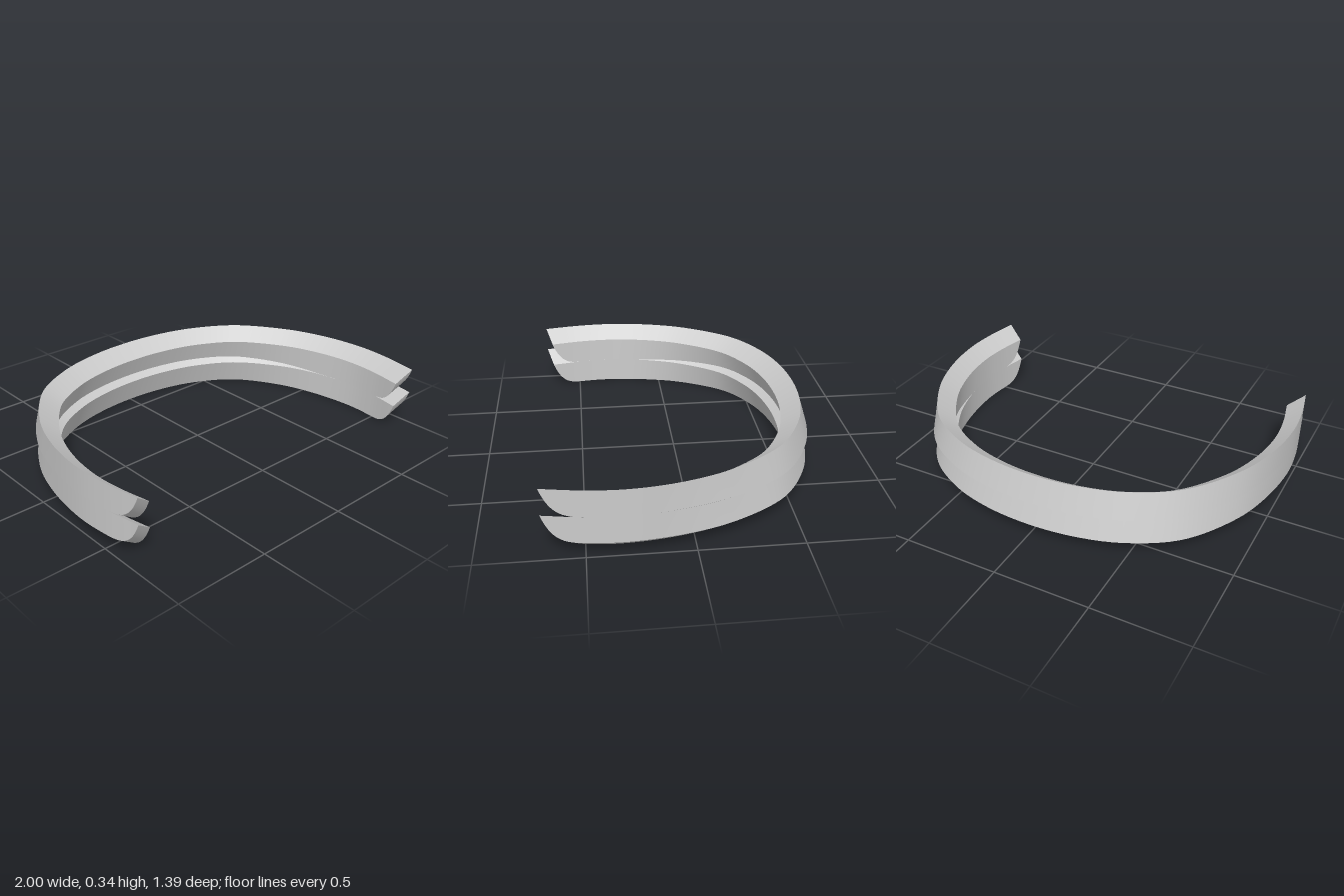
import * as THREE from 'three';

// Outer rim in plan for the left half, from the middle of the back to the tip: [x, z]
const RIM = [[0, -0.695], [0.25, -0.673], [0.48, -0.605], [0.716, -0.455], [0.89, -0.19],
  [0.965, 0.04], [1, 0.31], [0.989, 0.5], [0.955, 0.693]];
const STEPS = 128;
const SPACING = 0.136; // height between the two bands

// Four corners of the band at u along the rim: bottom inner, bottom outer, top outer, top inner
function sectionAt(curve, length, u) {
  const p = curve.getPointAt(u);
  const t = curve.getTangentAt(u);
  const inward = new THREE.Vector3(-t.z, 0, t.x).normalize();
  const lean = 1 - THREE.MathUtils.smoothstep(p.z, -0.69, 0.25); // leans in at the back
  const fromTip = Math.min(u, 1 - u) * length;
  const rise = Math.pow(Math.max(0, 1 - fromTip / 0.25), 5);     // underside sweeps up at the tips
  const skew = 0.22 * Math.max(0, 1 - fromTip / 0.3);            // slanted end cut
  const corner = (inset, y) => {
    const v = p.clone().addScaledVector(inward, inset);
    v.y = y;
    v.z -= inset * skew;
    return v;
  };
  const a = corner(0.091, 0);
  const b = corner(0, 0.07);
  const c = corner(0.042 * lean, 0.206);
  const d = corner(0.089 + 0.05 * lean, 0.135);
  return [a.lerp(d, rise), b.lerp(c, rise), c, d];
}

// One strip per side of the section: smooth along the band, sharp at its edges
function bandGeometry() {
  const mirrored = RIM.slice(1).reverse().map(([x, z]) => [-x, z]);
  const curve = new THREE.CatmullRomCurve3(
    [...mirrored, ...RIM].map(([x, z]) => new THREE.Vector3(x, 0, z)));
  curve.arcLengthDivisions = 1000;
  const length = curve.getLength();
  const sections = [];
  for (let i = 0; i <= STEPS; i++) {
    // samples crowd towards the curved tips
    sections.push(sectionAt(curve, length, 0.5 - 0.5 * Math.cos(Math.PI * i / STEPS)));
  }
  const positions = [];
  const index = [];
  for (let side = 0; side < 4; side++) {
    const start = positions.length / 3;
    sections.forEach((s, i) => {
      positions.push(...s[side].toArray(), ...s[(side + 1) % 4].toArray());
      if (i === STEPS) return;
      const k = start + 2 * i;
      index.push(k, k + 1, k + 2, k + 1, k + 3, k + 2);
    });
  }
  const geometry = new THREE.BufferGeometry();
  geometry.setAttribute('position', new THREE.Float32BufferAttribute(positions, 3));
  geometry.setIndex(index);
  geometry.computeVertexNormals();
  return geometry;
}

export function createModel() {
  const group = new THREE.Group();
  group.name = 'doubleBand';
  const material = new THREE.MeshStandardMaterial({ color: 0xcccccc });
  const geometry = bandGeometry();
  // Two equal bands, the upper nested into the lower
  ['lowerBand', 'upperBand'].forEach((name, i) => {
    const band = new THREE.Mesh(geometry, material);
    band.name = name;
    band.position.y = i * SPACING;
    group.add(band);
  });
  return group;
}
